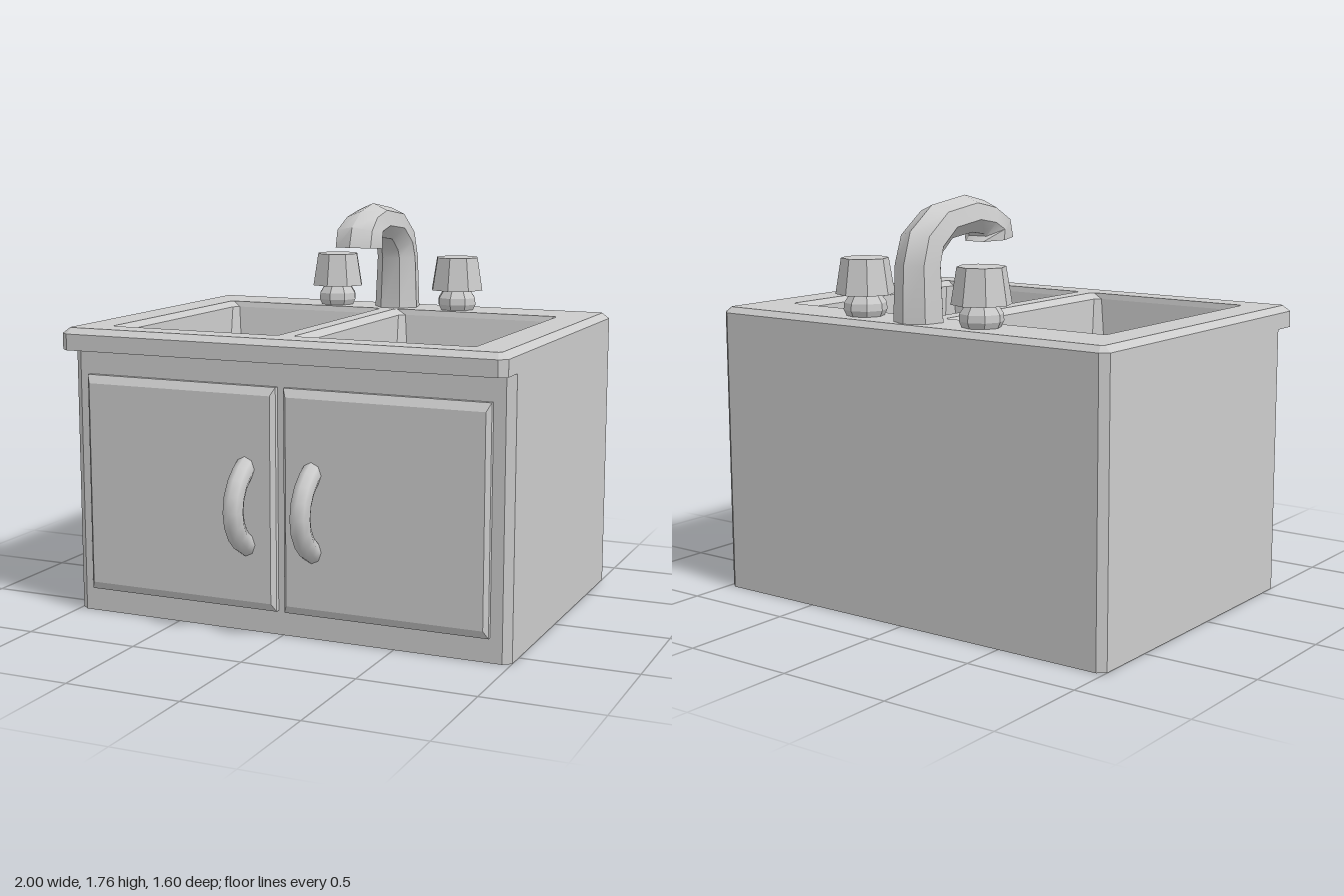
import * as THREE from 'three';
import { toCreasedNormals } from 'three/addons/utils/BufferGeometryUtils.js';

const material = new THREE.MeshStandardMaterial({ color: 0xcccccc, side: THREE.DoubleSide });

function part(parent, name, geometry) {
  const mesh = new THREE.Mesh(geometry, material);
  mesh.name = name;
  parent.add(mesh);
  return mesh;
}

// Horizontal rectangle with cut corners, starting at the front +x corner
function ring(x0, x1, z0, z1, cx, y, cz = cx) {
  return [[x1 - cx, z1], [x1, z1 - cz], [x1, z0 + cz], [x1 - cx, z0],
    [x0 + cx, z0], [x0, z0 + cz], [x0, z1 - cz], [x0 + cx, z1]].map(([x, z]) => new THREE.Vector3(x, y, z));
}

// Skin between successive cross-sections; crease 0 gives flat facets
function loft(rings, { cap = false, crease = 0 } = {}) {
  const n = rings[0].length, index = [];
  for (let i = 0; i < rings.length - 1; i++) {
    for (let j = 0; j < n; j++) {
      const k = (j + 1) % n, a = i * n, b = a + n;
      index.push(a + j, a + k, b + k, a + j, b + k, b + j);
    }
  }
  if (cap) {
    const e = (rings.length - 1) * n;
    for (let j = 1; j < n - 1; j++) index.push(e, e + j, e + j + 1);
  }
  const g = new THREE.BufferGeometry().setFromPoints(rings.flat());
  g.setIndex(index);
  if (crease) return toCreasedNormals(g, crease);
  const flat = g.toNonIndexed();
  flat.computeVertexNormals();
  return flat;
}

const toShape = pts => new THREE.Shape(pts.map(p => new THREE.Vector2(p.x, -p.z)));

export function createModel() {
  const group = new THREE.Group();
  const sides = [-1, 1];
  const span = (s, a, b) => (s > 0 ? [a, b] : [-b, -a]);

  // Cabinet walls, open underneath
  part(group, 'cabinetWalls', loft([0, 1.17].map(y => ring(-1, 1, -0.8, 0.61, 0.034, y, 0.027))));

  // Countertop edge, bevel and overhang
  const rim = ring(-0.97, 0.97, -0.775, 0.69, 0.012, 1.265);
  part(group, 'counterEdge', loft([1.17, 1.24].map(y => ring(-1, 1, -0.8, 0.72, 0.034, y, 0.027)).concat([rim])));
  const under = [[1, 0.583], [0.966, 0.61], [-0.966, 0.61], [-1, 0.583], [-1, 0.693], [-0.966, 0.72], [0.966, 0.72], [1, 0.693]];
  part(group, 'counterUnderside', new THREE.ShapeGeometry(
    new THREE.Shape(under.map(p => new THREE.Vector2(...p)))).rotateX(Math.PI / 2).translate(0, 1.17, 0));

  // Counter surface and the two basins
  const top = toShape(rim);
  for (const s of sides) {
    const level = (a, b, z0, z1, c, y) => ring(...span(s, a, b), z0, z1, c, y);
    const rings = [
      level(0.035, 0.825, -0.532, 0.575, 0.012, 1.265),
      level(0.067, 0.803, -0.525, 0.57, 0.025, 1.24),
      level(0.075, 0.795, -0.495, 0.56, 0.04, 1.03),
      level(0.11, 0.75, -0.435, 0.495, 0.012, 0.985)];
    top.holes.push(toShape(rings[0]));
    part(group, s > 0 ? 'leftBasin' : 'rightBasin', loft(rings, { cap: true }));
  }
  part(group, 'counterTop', new THREE.ShapeGeometry(top).rotateX(-Math.PI / 2).translate(0, 1.265, 0));

  // Pull handle: an arc whose ends splay through the door
  const upper = [[0.758, 0], [0.74, 0.075], [0.69, 0.135], [0.61, 0.183], [0.52, 0.22]];
  const lower = upper.slice(1).reverse().map(([z, y]) => [z, -y]);
  const pull = new THREE.CatmullRomCurve3([...lower, ...upper].map(([z, y]) => new THREE.Vector3(0, y, z)));

  for (const s of sides) {
    const label = s > 0 ? 'left' : 'right';

    // Solid door with bevelled border, reaching through the front wall
    const face = (inset, z) => {
      const [x0, x1] = span(s, 0.018 + inset / 2, 0.917 - inset / 2);
      return ring(x0, x1, -1.057 + inset, -0.105 - inset, 0, z);
    };
    const backCentre = Array(8).fill(new THREE.Vector3(s * 0.4675, 0.585, -0.581));
    const door = loft([backCentre, face(0, 0.585), face(0, 0.63), face(0.035, 0.65)], { cap: true });
    part(group, label + 'Door', door.rotateX(Math.PI / 2)).position.x = -0.003;

    part(group, label + 'Handle', new THREE.TubeGeometry(pull, 12, 0.045, 8)).position.set(s * 0.152 - 0.003, 0.548, 0);

    // Tap knob on a rounded stem
    const profile = [[0.08, 0], [0.092, 0.025], [0.09, 0.055], [0.065, 0.092], [0.125, 0.092], [0.1, 0.243], [0, 0.243]];
    const knob = new THREE.LatheGeometry(profile.map(p => new THREE.Vector2(...p)), 8).toNonIndexed();
    knob.computeVertexNormals();
    part(group, label + 'Knob', knob).position.set(s * 0.305 - 0.001, 1.265, -0.642);
  }

  // Spout stations: outer z, y; inner z, y; half width
  const stations = [
    [-0.765, 1.262, -0.56, 1.262, 0.105],
    [-0.757, 1.5, -0.57, 1.5, 0.095],
    [-0.712, 1.635, -0.555, 1.54, 0.092],
    [-0.57, 1.735, -0.485, 1.595, 0.09],
    [-0.35, 1.765, -0.35, 1.61, 0.087],
    [-0.215, 1.735, -0.27, 1.598, 0.092],
    [-0.11, 1.67, -0.262, 1.587, 0.105],
    [-0.08, 1.58, -0.285, 1.565, 0.105]];
  const spout = stations.map(([zo, yo, zi, yi, w]) => Array.from({ length: 7 }, (_, j) => {
    const a = j * Math.PI * 2 / 7;
    const t = (1 - Math.cos(a)) / (1 + Math.cos(Math.PI / 7));
    return new THREE.Vector3(-w * Math.sin(a) / Math.sin(Math.PI * 4 / 7), yo + (yi - yo) * t, zo + (zi - zo) * t);
  }));
  part(group, 'faucet', loft(spout, { cap: true, crease: 0.8 }));

  return group;
}
